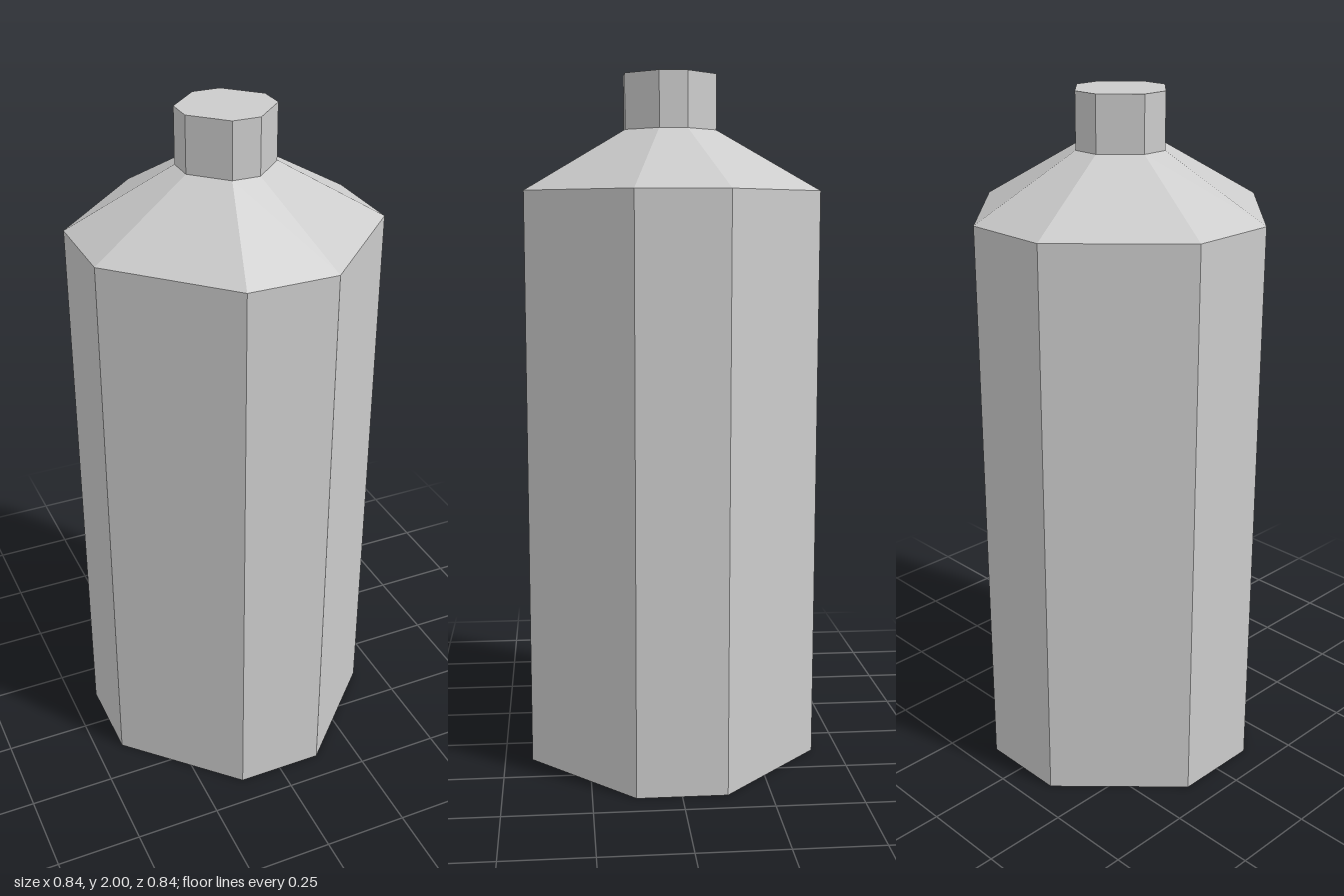
import * as THREE from 'three';

const FLAT = 0.305; // half-length of a flat side relative to the half-width

// Square with chamfered corners, running from +x towards +z
function octagon(half, y) {
  const f = half * FLAT;
  const corners = [
    [half, -f], [half, f], [f, half], [-f, half],
    [-half, f], [-half, -f], [-f, -half], [f, -half],
  ];
  return corners.map(([x, z]) => [x, y, z]);
}

// Flat-sided section between two octagons, with optional end caps
function section(name, [lowHalf, lowY], [highHalf, highY], { bottom = false, top = false } = {}) {
  const low = octagon(lowHalf, lowY);
  const high = octagon(highHalf, highY);
  const points = [];
  for (let i = 0; i < 8; i++) {
    const j = (i + 1) % 8;
    points.push(low[i], high[i], high[j], low[i], high[j], low[j]);
    if (bottom) points.push([0, lowY, 0], low[i], low[j]);
    if (top) points.push([0, highY, 0], high[j], high[i]);
  }
  const geometry = new THREE.BufferGeometry();
  geometry.setAttribute('position', new THREE.Float32BufferAttribute(points.flat(), 3));
  geometry.computeVertexNormals();
  const material = new THREE.MeshStandardMaterial({ color: 0xcccccc, flatShading: true });
  const mesh = new THREE.Mesh(geometry, material);
  mesh.name = name;
  return mesh;
}

export function createModel() {
  const bottle = new THREE.Group();
  bottle.name = 'bottle';
  // Each ring is [half-width, height]
  const base = [0.42, 0];
  const bodyTop = [0.42, 1.67];
  const neckBase = [0.131, 1.843];
  const neckTop = [0.131, 2];
  bottle.add(
    section('body', base, bodyTop, { bottom: true }),
    section('shoulder', bodyTop, neckBase),
    section('neck', neckBase, neckTop, { top: true }),
  );
  return bottle;
}
